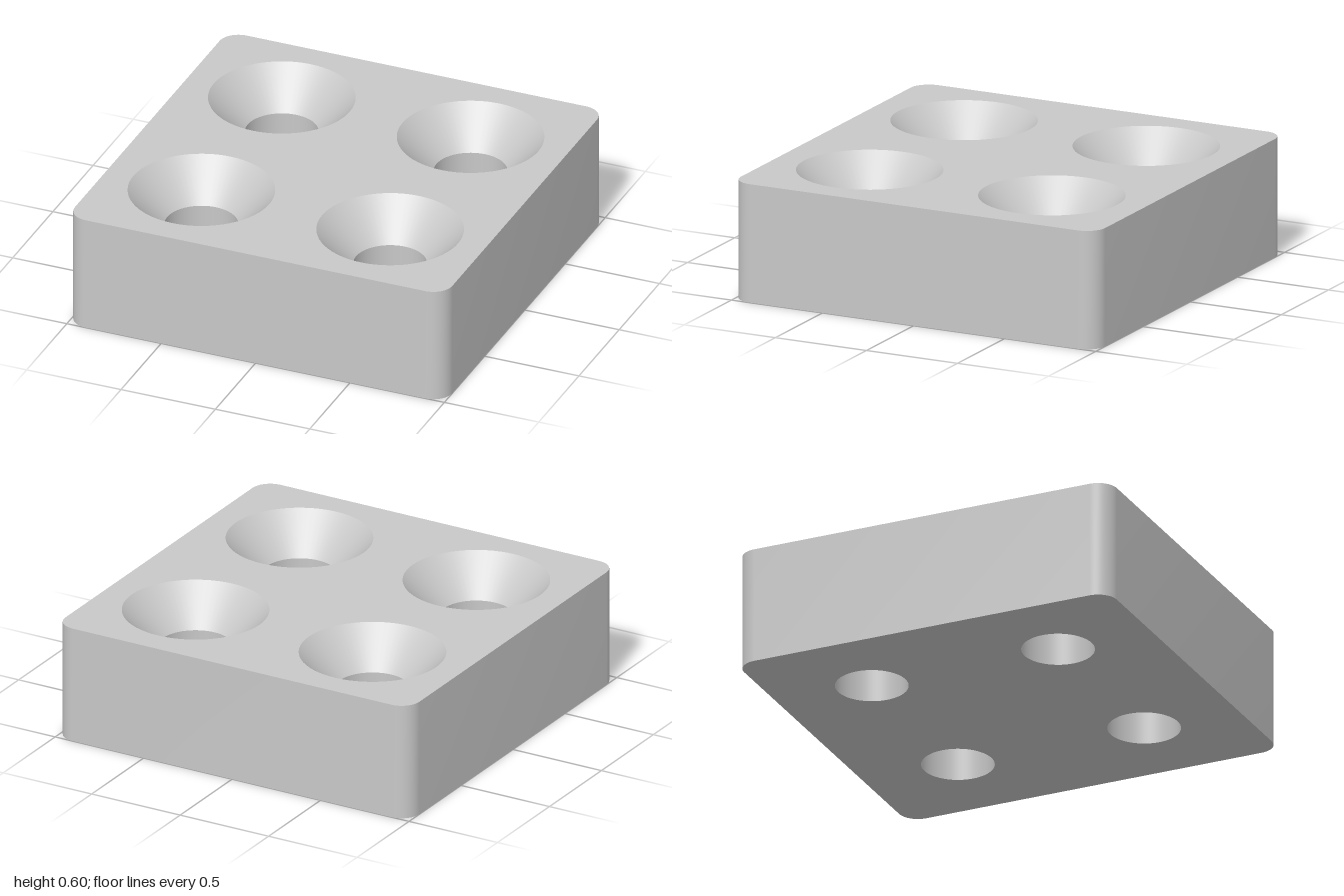
import * as THREE from 'three';
import { toCreasedNormals } from 'three/addons/utils/BufferGeometryUtils.js';

const HALF = 1, HEIGHT = 0.6, CORNER = 0.1;
const BORE = 0.18, SINK = 0.36, SINK_Y = 0.41;
const SEGMENTS = 64;
const CENTRES = [[-0.5, -0.5], [0.5, -0.5], [-0.5, 0.5], [0.5, 0.5]];

// Rounded square, counter-clockwise, as a list of points
function outline() {
  const points = [], c = HALF - CORNER;
  [[c, c], [-c, c], [-c, -c], [c, -c]].forEach(([x, y], corner) => {
    for (let i = 0; i <= 12; i++) {
      const a = (corner + i / 12) * Math.PI / 2;
      points.push(new THREE.Vector2(x + CORNER * Math.cos(a), y + CORNER * Math.sin(a)));
    }
  });
  return points;
}

// Flat face pierced by four round holes
function piercedFace(radius) {
  const shape = new THREE.Shape(outline());
  for (const [x, y] of CENTRES) {
    const hole = [];
    for (let i = 0; i < SEGMENTS; i++) {
      const a = -i / SEGMENTS * Math.PI * 2;
      hole.push(new THREE.Vector2(x + radius * Math.cos(a), y + radius * Math.sin(a)));
    }
    shape.holes.push(new THREE.Path(hole));
  }
  return new THREE.ShapeGeometry(shape);
}

// Upright wall following the outline
function wall() {
  const points = outline(), position = [];
  points.forEach((p, i) => {
    const q = points[(i + 1) % points.length];
    const a = [p.x, 0, -p.y], b = [q.x, 0, -q.y];
    const c = [q.x, HEIGHT, -q.y], d = [p.x, HEIGHT, -p.y];
    position.push(...a, ...b, ...c, ...a, ...c, ...d);
  });
  const geometry = new THREE.BufferGeometry();
  geometry.setAttribute('position', new THREE.Float32BufferAttribute(position, 3));
  return toCreasedNormals(geometry, 0.5);
}

// Inward-facing surface of revolution, from its top edge to its bottom edge
function holeSurface(topRadius, topY, bottomRadius, bottomY) {
  return new THREE.LatheGeometry([
    new THREE.Vector2(topRadius, topY),
    new THREE.Vector2(bottomRadius, bottomY),
  ], SEGMENTS);
}

export function createModel() {
  const model = new THREE.Group();
  model.name = 'countersunkBlock';
  const grey = new THREE.MeshStandardMaterial({ color: 0xc8c8c8 });
  grey.name = 'light grey';

  const add = (name, geometry, x = 0, y = 0, z = 0) => {
    const mesh = new THREE.Mesh(geometry, grey);
    mesh.name = name;
    mesh.position.set(x, y, z);
    model.add(mesh);
  };

  // Block shell
  add('topFace', piercedFace(SINK).rotateX(-Math.PI / 2), 0, HEIGHT);
  add('bottomFace', piercedFace(BORE).rotateX(Math.PI / 2));
  add('sideWall', wall());

  // Conical countersinks above straight through bores
  const cone = holeSurface(SINK, HEIGHT, BORE, SINK_Y);
  const bore = holeSurface(BORE, SINK_Y, BORE, 0);
  for (const [x, z] of CENTRES) {
    add('countersink', cone, x, 0, z);
    add('throughBore', bore, x, 0, z);
  }
  return model;
}
